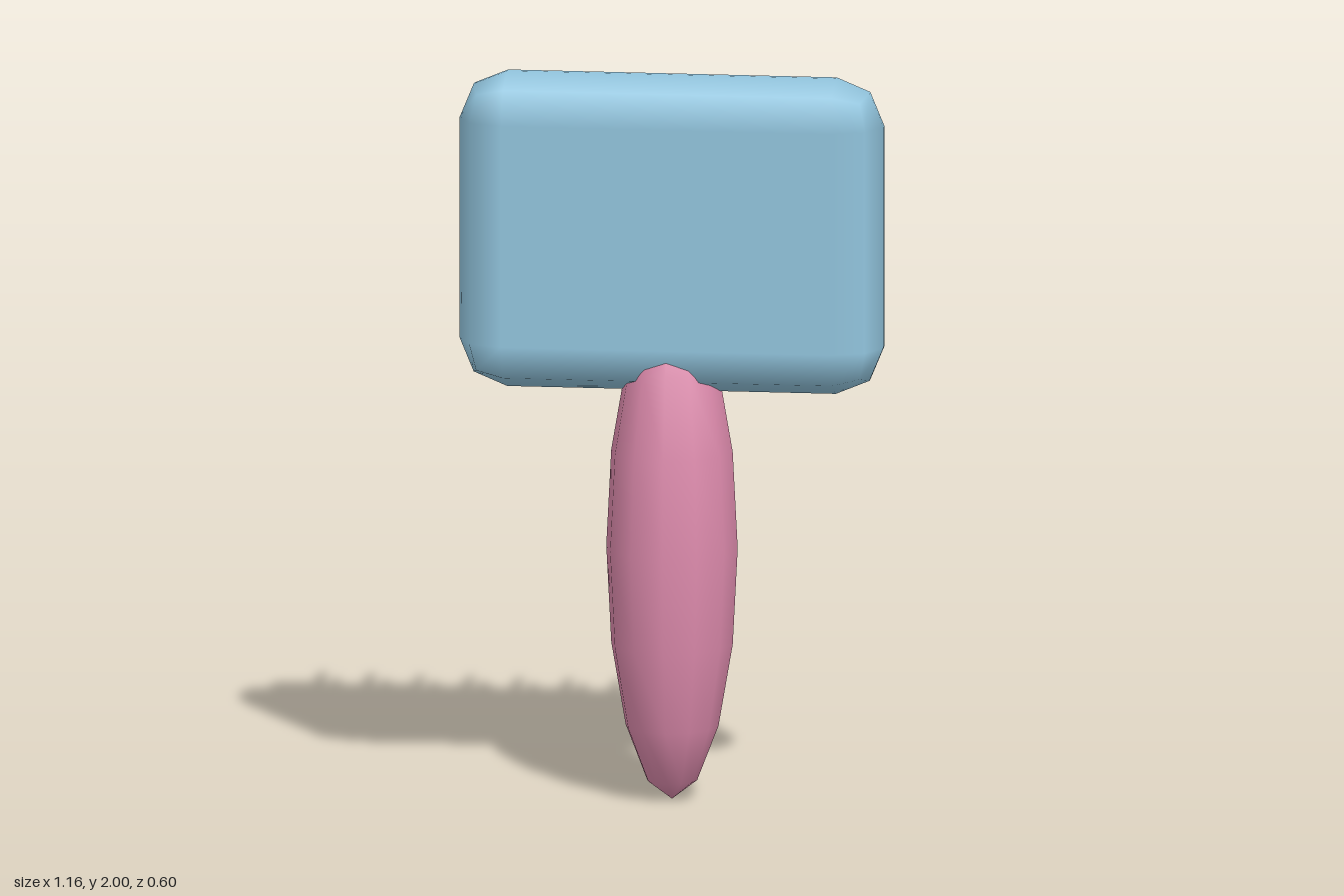
import * as THREE from 'three';
import { RoundedBoxGeometry } from 'three/addons/geometries/RoundedBoxGeometry.js';

function material(name, color) {
  const m = new THREE.MeshStandardMaterial({ color });
  m.name = name;
  return m;
}

export function createModel() {
  const blue = material('soft blue', 0x92c5de);
  const pink = material('pink', 0xde8bad);
  const steel = material('steel grey', 0xaaaaaa);
  const cream = material('pale metal', 0xd0c8b0);

  const model = new THREE.Group();
  model.name = 'slickerBrush';

  const add = (name, geometry, mat, x, y, z, parent = model) => {
    const mesh = new THREE.Mesh(geometry, mat);
    mesh.name = name;
    mesh.position.set(x, y, z);
    parent.add(mesh);
    return mesh;
  };

  const headY = 1.565;

  // Brush head and the pad behind it
  add('head', new RoundedBoxGeometry(1.16, 0.87, 0.28, 1, 0.13), blue, 0, headY, 0.1);
  add('pinPad', new RoundedBoxGeometry(1.02, 0.71, 0.08, 1, 0.04), blue, 0, headY, -0.08);

  // Spindle-shaped handle, its top buried in the head
  const handle = add('handle', new THREE.SphereGeometry(1, 12, 8), pink, 0, 0.695, 0.1);
  handle.scale.set(0.18, 0.695, 0.2);

  // Pins: a 7 by 6 grid pointing backwards
  const profile = [[0.013, 0], [0.013, 0.18], [0.008, 0.195], [0, 0.2]];
  const pinGeometry = new THREE.LatheGeometry(profile.map(([r, y]) => new THREE.Vector2(r, y)), 8);
  pinGeometry.rotateX(-Math.PI / 2);
  const pins = new THREE.Group();
  pins.name = 'pins';
  model.add(pins);
  for (let row = 0; row < 6; row++) {
    for (let col = 0; col < 7; col++) {
      add('pin', pinGeometry, steel, (col - 3) * 0.135, headY + (row - 2.5) * 0.1135, -0.1, pins);
    }
  }

  // Hanging ring behind the handle's lower end
  add('hangingRing', new THREE.TorusGeometry(0.065, 0.018, 8, 16), cream, 0, 0.155, -0.08);

  return model;
}
